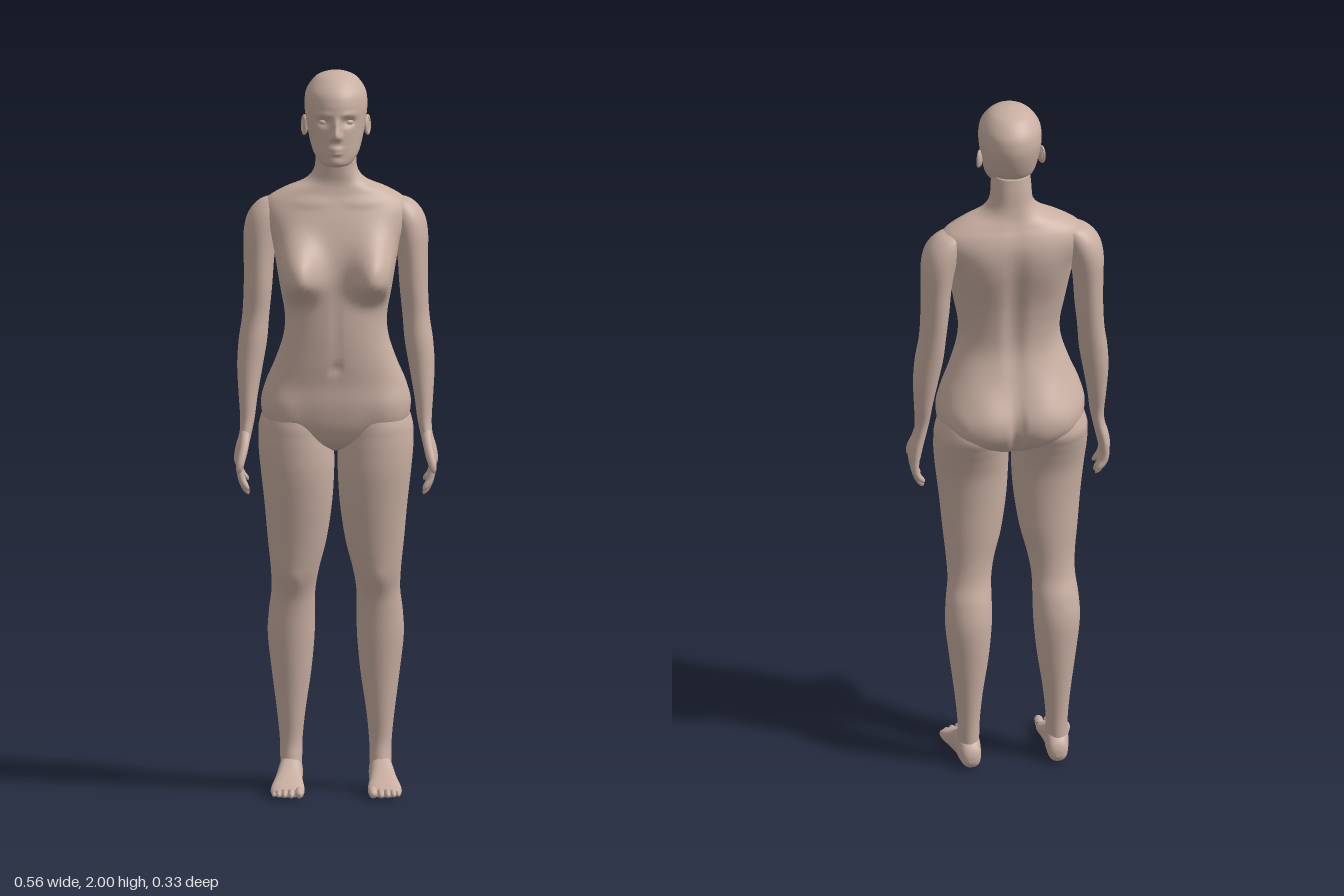
import * as THREE from 'three';
import { mergeVertices } from 'three/addons/utils/BufferGeometryUtils.js';

const skin = new THREE.MeshStandardMaterial({ color: 0xc9afa2 });
skin.name = 'skin';

// Smooth bell: steep on the lower side when sy is given as [up, down]
const bell = (x, y, [cx, cy, sx, sy]) => {
  const [up, down] = Array.isArray(sy) ? sy : [sy, sy];
  const d = Math.hypot((x - cx) / sx, (y - cy) / (y > cy ? up : down));
  return Math.exp(-Math.pow(d, 2.5));
};

// Closed skin over stacked oval sections [y, centreX, halfWidth, frontZ, backZ], listed upward.
// Bumps [x, y, sx, sy, amount] push the front (+) or back (-) side along z.
function loft(sections, { sides = 40, power = 2, front = [], back = [] } = {}) {
  const steps = 6, rings = (sections.length - 1) * steps, pos = [], index = [];
  const at = (i) => sections[Math.min(Math.max(i, 0), sections.length - 1)];
  const round = (v) => Math.sign(v) * Math.pow(Math.abs(v), 2 / power);
  for (let r = 0; r <= rings; r++) {
    const k = Math.min(Math.floor(r / steps), sections.length - 2), t = r / steps - k;
    const [y, cx, rx, zf, zb] = at(k).map((p1, c) => {
      const p0 = at(k - 1)[c], p2 = at(k + 1)[c], p3 = at(k + 2)[c];
      return p1 + 0.5 * t * (p2 - p0 + t * (2 * p0 - 5 * p1 + 4 * p2 - p3 + t * (3 * (p1 - p2) + p3 - p0)));
    });
    for (let j = 0; j < sides; j++) {
      const a = (j / sides) * Math.PI * 2, s = round(Math.sin(a));
      const x = cx + rx * round(Math.cos(a));
      let z = (zf + zb) / 2 + s * (zf - zb) / 2;
      const weight = Math.min(1, Math.abs(s) * 2) * Math.sign(s);
      for (const b of s > 0 ? front : back) z += weight * b[4] * bell(x, y, b);
      pos.push(x, y, z);
    }
  }
  for (let r = 0; r < rings; r++) for (let j = 0; j < sides; j++) {
    const a = r * sides + j, b = r * sides + (j + 1) % sides;
    index.push(a, a + sides, b, b, a + sides, b + sides);
  }
  // End caps
  const first = sections[0], last = at(sections.length), n = pos.length / 3;
  for (const [y, cx, , zf, zb] of [first, last]) pos.push(cx, y, (zf + zb) / 2);
  for (let j = 0; j < sides; j++) {
    const k = (j + 1) % sides, top = rings * sides;
    index.push(n, j, k, n + 1, top + k, top + j);
  }
  const g = new THREE.BufferGeometry();
  g.setAttribute('position', new THREE.Float32BufferAttribute(pos, 3));
  g.setIndex(index);
  g.computeVertexNormals();
  return g;
}

// Tapered tube with a rounded tip
function digit(points, radius) {
  const curve = new THREE.CatmullRomCurve3(points.map((p) => new THREE.Vector3(...p)));
  const n = 16, sides = 12, g = new THREE.TubeGeometry(curve, n, radius, sides);
  const p = g.attributes.position, v = new THREE.Vector3();
  for (let i = 0; i < p.count; i++) {
    const u = Math.floor(i / (sides + 1)) / n, c = curve.getPointAt(u);
    const tip = u > 0.75 ? Math.sqrt(Math.max(0, 1 - ((u - 0.75) / 0.25) ** 2)) : 1;
    v.fromBufferAttribute(p, i).sub(c).multiplyScalar(tip * (1 - 0.2 * u)).add(c);
    p.setXYZ(i, v.x, v.y, v.z);
  }
  g.deleteAttribute('uv');
  g.deleteAttribute('normal');
  const merged = mergeVertices(g, 1e-5);
  merged.computeVertexNormals();
  return merged;
}

const ball = (rx, ry, rz) => new THREE.SphereGeometry(1, 24, 16).scale(rx, ry, rz);

function mirrored(geometry) {
  const g = geometry.clone().scale(-1, 1, 1), ix = g.index;
  for (let i = 0; i < ix.count; i += 3) {
    const b = ix.getX(i + 1);
    ix.setX(i + 1, ix.getX(i + 2));
    ix.setX(i + 2, b);
  }
  return g;
}

const bothSides = (b) => [b, [-b[0], ...b.slice(1)]];

export function createModel() {
  const model = new THREE.Group();
  model.name = 'figure';
  const add = (name, geometry) => {
    const mesh = new THREE.Mesh(geometry, skin);
    mesh.name = name;
    model.add(mesh);
  };
  const addPair = (name, geometry) => {
    add(name + 'Left', geometry);
    add(name + 'Right', mirrored(geometry));
  };

  // Torso and neck
  add('torso', loft([
    [0.95, 0, 0.02, 0.02, -0.05], [0.975, 0, 0.1, 0.066, -0.085], [1.02, 0, 0.185, 0.09, -0.11],
    [1.08, 0, 0.205, 0.1, -0.118], [1.14, 0, 0.192, 0.1, -0.11], [1.2, 0, 0.167, 0.105, -0.1],
    [1.27, 0, 0.144, 0.107, -0.084], [1.33, 0, 0.14, 0.105, -0.084], [1.4, 0, 0.152, 0.1, -0.093],
    [1.47, 0, 0.164, 0.094, -0.108], [1.53, 0, 0.175, 0.082, -0.122], [1.58, 0, 0.195, 0.066, -0.13],
    [1.615, 0, 0.2, 0.052, -0.13], [1.645, 0, 0.185, 0.038, -0.122], [1.672, 0, 0.14, 0.029, -0.109],
    [1.695, 0, 0.085, 0.026, -0.1], [1.725, 0, 0.06, 0.03, -0.094], [1.77, 0, 0.055, 0.035, -0.09],
    [1.81, 0, 0.052, 0.035, -0.085],
  ], {
    sides: 96, power: 2.3,
    front: [
      ...bothSides([0.112, 1.435, 0.064, [0.1, 0.052], 0.086]), // breasts
      ...bothSides([0.07, 1.64, 0.05, 0.014, 0.004]), // collarbones
      ...bothSides([0.155, 1.05, 0.05, 0.07, 0.011]), // hip fronts
      [0, 1.19, 0.012, 0.014, -0.008], // navel
      [0, 1.28, 0.012, 0.1, -0.003], // midline
    ],
    back: [
      ...bothSides([0.088, 1.06, 0.085, [0.11, 0.085], 0.047]), // buttocks
      ...bothSides([0.165, 1.06, 0.04, 0.07, 0.012]), // hip backs
      [0, 1.04, 0.01, 0.08, -0.022], // cleft
      [0, 1.38, 0.025, 0.22, -0.012], // spine
      ...bothSides([0.085, 1.53, 0.05, 0.08, 0.008]), // shoulder blades
    ],
  }));

  // Head with face relief
  add('head', loft([
    [1.745, 0, 0.016, 0.08, 0.045], [1.753, 0, 0.04, 0.096, 0.01], [1.778, 0, 0.06, 0.1, -0.04],
    [1.81, 0, 0.071, 0.101, -0.082], [1.85, 0, 0.079, 0.102, -0.105], [1.89, 0, 0.085, 0.104, -0.118],
    [1.92, 0, 0.086, 0.102, -0.12], [1.95, 0, 0.08, 0.09, -0.112], [1.98, 0, 0.059, 0.058, -0.085],
    [1.994, 0, 0.034, 0.028, -0.054], [2, 0, 0.006, -0.004, -0.02],
  ], {
    sides: 128,
    front: [
      [0, 1.858, 0.01, 0.022, 0.012], [0, 1.833, 0.011, [0.018, 0.008], 0.023], // nose
      ...bothSides([0.011, 1.83, 0.007, 0.007, 0.009]), // nostrils
      [0, 1.798, 0.019, 0.0055, 0.009], [0, 1.786, 0.016, 0.0055, 0.009], // lips
      [0, 1.76, 0.02, 0.012, 0.004], // chin
      ...bothSides([0.034, 1.872, 0.018, 0.012, -0.014]), // eye sockets
      ...bothSides([0.034, 1.893, 0.024, 0.007, 0.004]), // brows
    ],
  }));
  addPair('eye', ball(0.014, 0.0095, 0.012).translate(0.034, 1.87, 0.073));

  // Ears: a shell with a raised rim
  addPair('ear', ball(0.007, 0.025, 0.014).rotateY(-0.3).translate(0.084, 1.847, -0.015));
  addPair('earRim', new THREE.TorusGeometry(0.0125, 0.004, 10, 32).scale(1, 1.75, 1)
    .rotateY(Math.PI / 2 - 0.4).rotateX(-0.15).translate(0.087, 1.848, -0.017));

  // Arms, palm up to shoulder
  addPair('arm', loft([
    [0.905, 0.263, 0.008, 0.038, -0.02], [0.925, 0.263, 0.016, 0.05, -0.03], [0.96, 0.257, 0.018, 0.048, -0.029],
    [1, 0.247, 0.017, 0.036, -0.025], [1.04, 0.242, 0.02, 0.027, -0.028], [1.1, 0.24, 0.026, 0.023, -0.045],
    [1.18, 0.235, 0.035, 0.018, -0.063], [1.25, 0.227, 0.039, 0.015, -0.076], [1.32, 0.219, 0.037, 0.01, -0.088],
    [1.4, 0.213, 0.039, 0.017, -0.1], [1.48, 0.21, 0.042, 0.02, -0.11], [1.55, 0.204, 0.048, 0.02, -0.117],
    [1.6, 0.191, 0.049, 0.012, -0.112], [1.635, 0.172, 0.038, -0.008, -0.095], [1.648, 0.158, 0.014, -0.03, -0.07],
  ]));

  // Fingers: [base z, tip y, tip z]
  for (const [z, tipY, tipZ] of [[0.042, 0.845, 0.058], [0.02, 0.83, 0.03], [-0.001, 0.835, 0.002], [-0.021, 0.862, -0.027]])
    addPair('finger', digit([
      [0.262, 0.935, z], [0.263, 0.9, z * 0.7 + tipZ * 0.3],
      [0.256, (0.9 + tipY) / 2, (z + tipZ) / 2], [0.238, tipY, tipZ],
    ], 0.0105));
  addPair('thumb', digit([[0.248, 1, 0.022], [0.252, 0.965, 0.05], [0.262, 0.925, 0.072], [0.268, 0.895, 0.08]], 0.0135));

  // Legs, ankle up to hip
  addPair('leg', loft([
    [0.035, 0.123, 0.028, 0, -0.09], [0.09, 0.122, 0.03, -0.012, -0.09], [0.14, 0.122, 0.031, -0.02, -0.092],
    [0.22, 0.122, 0.039, -0.012, -0.1], [0.33, 0.121, 0.054, 0, -0.112], [0.43, 0.122, 0.064, 0.01, -0.118],
    [0.5, 0.12, 0.063, 0.016, -0.107], [0.56, 0.116, 0.06, 0.026, -0.087], [0.62, 0.112, 0.066, 0.048, -0.081],
    [0.7, 0.106, 0.08, 0.062, -0.083], [0.8, 0.103, 0.092, 0.078, -0.086], [0.89, 0.105, 0.1, 0.09, -0.094],
    [0.95, 0.108, 0.103, 0.092, -0.111], [0.99, 0.11, 0.102, 0.091, -0.126], [1.03, 0.111, 0.098, 0.088, -0.138],
    [1.08, 0.108, 0.08, 0.072, -0.12], [1.12, 0.1, 0.035, 0.03, -0.06],
  ], { sides: 56, front: [[0.116, 0.585, 0.035, 0.035, 0.006]] }));

  // Feet: sections run heel to toe, then the stack is laid forward
  addPair('foot', loft([
    [-0.107, 0.12, 0.009, -0.022, -0.042], [-0.096, 0.12, 0.025, -0.005, -0.066], [-0.06, 0.122, 0.032, 0, -0.095],
    [-0.02, 0.125, 0.033, 0, -0.094], [0.02, 0.129, 0.038, 0, -0.067], [0.06, 0.132, 0.045, 0, -0.046],
    [0.09, 0.133, 0.046, 0, -0.033], [0.108, 0.132, 0.038, -0.004, -0.025],
  ], { power: 2.4 }).rotateX(Math.PI / 2));

  // Toes: [x, tip z, radius]
  for (const [x, z, r] of [[0.1, 0.145, 0.0135], [0.122, 0.143, 0.0095], [0.14, 0.136, 0.009], [0.156, 0.126, 0.0085], [0.169, 0.114, 0.008]])
    addPair('toe', digit([[x, 0.018, z - 0.055], [x, 0.019, z - 0.025], [x + 0.002, r * 0.9, z]], r));

  return model;
}
